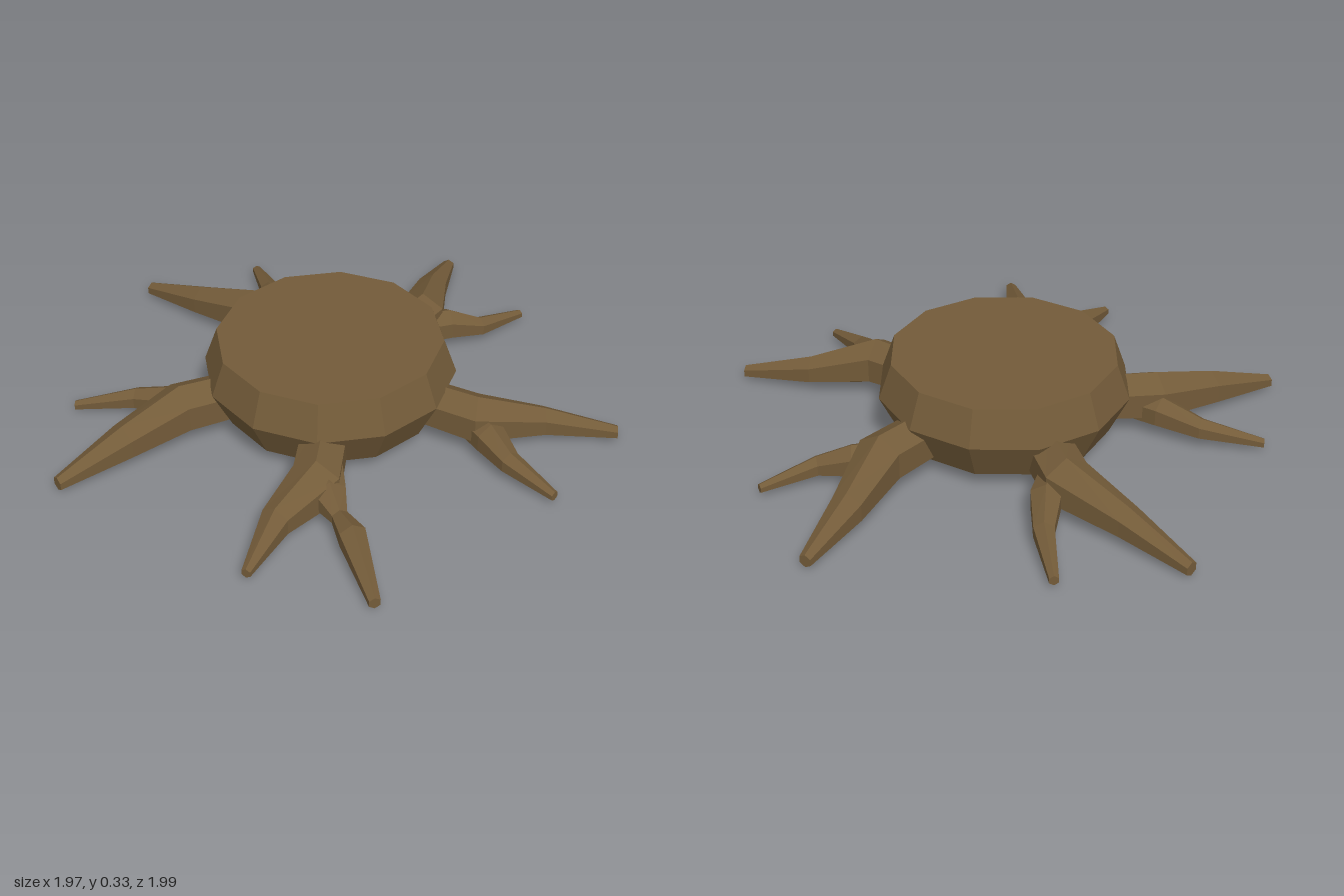
import * as THREE from 'three';

const SIDES = 6;

// Faceted tapering limb through points [x, y, z, radius], closed at its tip
function limb(points, material, name) {
  const centres = points.map(p => new THREE.Vector3(p[0], p[1], p[2]));
  const up = new THREE.Vector3(0, 1, 0);
  const rings = points.map((p, i) => {
    const along = new THREE.Vector3();
    if (i > 0) along.add(centres[i].clone().sub(centres[i - 1]).normalize());
    if (i < points.length - 1) along.add(centres[i + 1].clone().sub(centres[i]).normalize());
    along.setY(0).normalize();
    const side = up.clone().cross(along);
    return Array.from({ length: SIDES }, (_, k) => {
      const a = Math.PI / 2 + k * 2 * Math.PI / SIDES; // ridge on top
      return centres[i].clone()
        .addScaledVector(side, Math.cos(a) * p[3])
        .addScaledVector(up, Math.sin(a) * p[3]);
    });
  });
  const corners = [];
  for (let i = 0; i < rings.length - 1; i++) {
    for (let k = 0; k < SIDES; k++) {
      const n = (k + 1) % SIDES;
      const a = rings[i][k], b = rings[i][n], c = rings[i + 1][n], d = rings[i + 1][k];
      corners.push(a, b, c, a, c, d);
    }
  }
  const tip = rings[rings.length - 1];
  for (let k = 1; k < SIDES - 1; k++) corners.push(tip[0], tip[k], tip[k + 1]);
  const geometry = new THREE.BufferGeometry().setFromPoints(corners);
  geometry.computeVertexNormals();
  const mesh = new THREE.Mesh(geometry, material);
  mesh.name = name;
  return mesh;
}

// Each root has a main limb and a side branch that leaves it near the knee
const ROOTS = {
  leftRoot: {
    main: [[0.28, 0.12, 0.05, 0.085], [0.48, 0.11, 0.125, 0.093], [0.72, 0.068, 0.065, 0.056], [0.985, 0.026, 0.055, 0.025]],
    branch: [[0.46, 0.08, 0.11, 0.06], [0.53, 0.08, 0.2, 0.062], [0.6, 0.06, 0.3, 0.042], [0.755, 0.026, 0.425, 0.018]],
  },
  backLeftRoot: {
    main: [[0.14, 0.12, -0.3, 0.09], [0.255, 0.11, -0.5, 0.095], [0.285, 0.07, -0.75, 0.062], [0.342, 0.024, -0.993, 0.024]],
    branch: [[0.25, 0.08, -0.45, 0.065], [0.36, 0.08, -0.49, 0.062], [0.48, 0.055, -0.52, 0.038], [0.635, 0.026, -0.66, 0.017]],
  },
  backRightRoot: {
    main: [[-0.28, 0.12, -0.3, 0.09], [-0.385, 0.11, -0.465, 0.095], [-0.62, 0.07, -0.58, 0.06], [-0.85, 0.025, -0.71, 0.026]],
    branch: [[-0.34, 0.08, -0.42, 0.065], [-0.335, 0.08, -0.54, 0.06], [-0.365, 0.06, -0.69, 0.04], [-0.445, 0.026, -0.883, 0.018]],
  },
  rightRoot: {
    main: [[-0.38, 0.12, 0.07, 0.09], [-0.575, 0.11, 0.16, 0.095], [-0.75, 0.075, 0.325, 0.068], [-0.947, 0.025, 0.512, 0.026]],
    branch: [[-0.5, 0.08, 0.13, 0.06], [-0.61, 0.085, 0.09, 0.06], [-0.76, 0.06, 0.055, 0.041], [-0.985, 0.025, 0.074, 0.018]],
  },
  frontRoot: {
    main: [[-0.04, 0.12, 0.25, 0.09], [-0.05, 0.105, 0.52, 0.098], [-0.17, 0.065, 0.68, 0.058], [-0.24, 0.026, 0.89, 0.018]],
    branch: [[-0.04, 0.1, 0.46, 0.085], [0.0, 0.09, 0.57, 0.065], [0.04, 0.07, 0.645, 0.032],
      [0.09, 0.07, 0.735, 0.052], [0.183, 0.025, 0.985, 0.022]],
  },
};

export function createModel() {
  const model = new THREE.Group();
  model.name = 'treeStump';
  const bark = new THREE.MeshStandardMaterial({ color: 0x735b39, flatShading: true });
  bark.name = 'brown bark';

  // Twelve-sided trunk: bevelled upper band over a narrowing foot
  const upper = new THREE.Mesh(new THREE.CylinderGeometry(0.408, 0.455, 0.13, 12), bark);
  upper.name = 'trunkTop';
  upper.position.set(-0.057, 0.26, -0.033);
  const foot = new THREE.Mesh(new THREE.CylinderGeometry(0.455, 0.385, 0.145, 12), bark);
  foot.name = 'trunkFoot';
  foot.position.set(-0.057, 0.1225, -0.033);
  model.add(upper, foot);

  // Forked roots spreading over the ground
  for (const [name, { main, branch }] of Object.entries(ROOTS)) {
    const root = new THREE.Group();
    root.name = name;
    root.add(limb(main, bark, 'mainLimb'), limb(branch, bark, 'sideBranch'));
    model.add(root);
  }
  return model;
}
